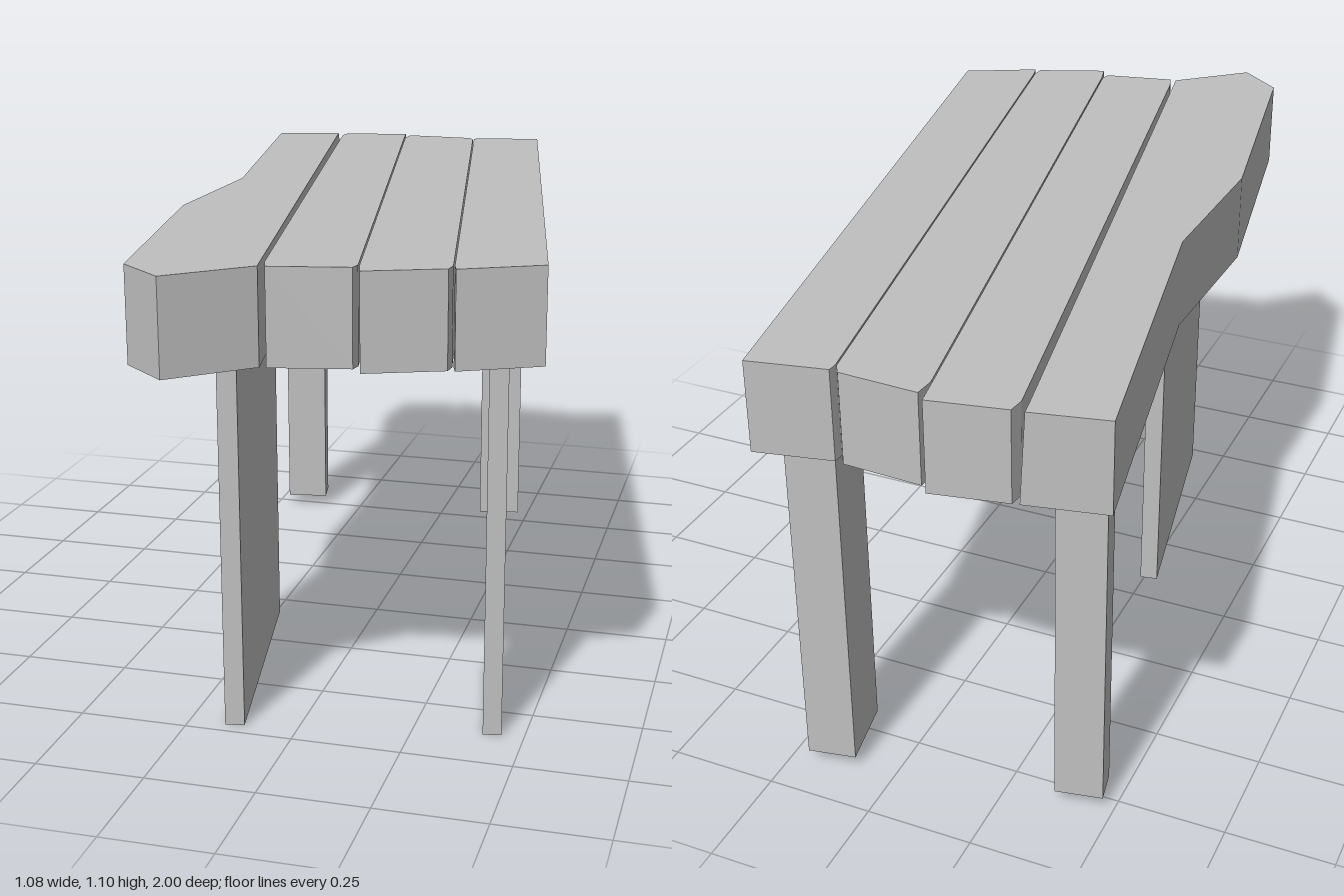
import * as THREE from 'three';

const TOP = 1.095, UNDER = 0.885, YAW = 0.186;

export function createModel() {
  const group = new THREE.Group();
  const grey = new THREE.MeshStandardMaterial({ color: 0xbfbfbf });
  grey.name = 'plain grey';

  // A tabletop plank from its [x, z] outline
  function plank(name, outline) {
    const shape = new THREE.Shape(outline.map(([x, z]) => new THREE.Vector2(x, -z)));
    const geo = new THREE.ExtrudeGeometry(shape, { depth: TOP - UNDER, bevelEnabled: false });
    geo.rotateX(-Math.PI / 2).translate(0, UNDER, 0);
    const mesh = new THREE.Mesh(geo, grey);
    mesh.name = name;
    group.add(mesh);
    return mesh;
  }

  // A leg running from the floor height up to the planks, turned with the tabletop
  function leg(name, x, z, width, length, bottom) {
    const h = UNDER - bottom;
    const mesh = new THREE.Mesh(new THREE.BoxGeometry(width, h, length), grey);
    mesh.position.set(x, bottom + h / 2, z);
    mesh.rotation.y = YAW;
    mesh.name = name;
    group.add(mesh);
  }

  // Outer plank with a natural bulge on its outside edge
  const outer = plank('waneyEdgePlank', [
    [-0.54, -0.93], [-0.36, -0.965], [-0.354, -0.93], [-0.02, 0.86],
    [-0.18, 1.0], [-0.285, 0.91], [-0.4, 0.27], [-0.39, -0.13],
  ]);
  // Its inner side leans away from the seam toward the back
  const p = outer.geometry.attributes.position;
  for (let i = 0; i < p.count; i++) {
    if (p.getY(i) > 1 && p.getZ(i) < -0.92 && p.getX(i) > -0.4) p.setX(i, p.getX(i) - 0.012);
  }
  outer.geometry.computeVertexNormals();

  // Straight planks, chamfered where their ends meet
  plank('innerPlankRight', [
    [-0.345, -0.968], [-0.175, -1.0], [-0.162, -0.93], [0.172, 0.8],
    [0.167, 0.825], [-0.005, 0.86], [-0.018, 0.82], [-0.35, -0.93],
  ]);
  plank('innerPlankLeft', [
    [-0.155, -0.978], [0.025, -0.968], [0.04, -0.945], [0.358, 0.76],
    [0.355, 0.79], [0.19, 0.855], [0.175, 0.8], [-0.159, -0.93],
  ]);
  plank('outerPlankLeft', [
    [0.045, -0.965], [0.22, -1.0], [0.54, 0.705], [0.37, 0.79], [0.361, 0.76], [0.043, -0.945],
  ]);

  // Broad slab legs at the front, posts at the back
  leg('frontLegLeft', 0.395, 0.44, 0.042, 0.36, 0);
  leg('frontLegRight', -0.2025, 0.4, 0.044, 0.645, 0);
  leg('backLegLeft', 0.165, -0.81, 0.112, 0.17, 0.03);
  leg('backLegRight', -0.415, -0.76, 0.11, 0.075, 0.03);

  return group;
}
